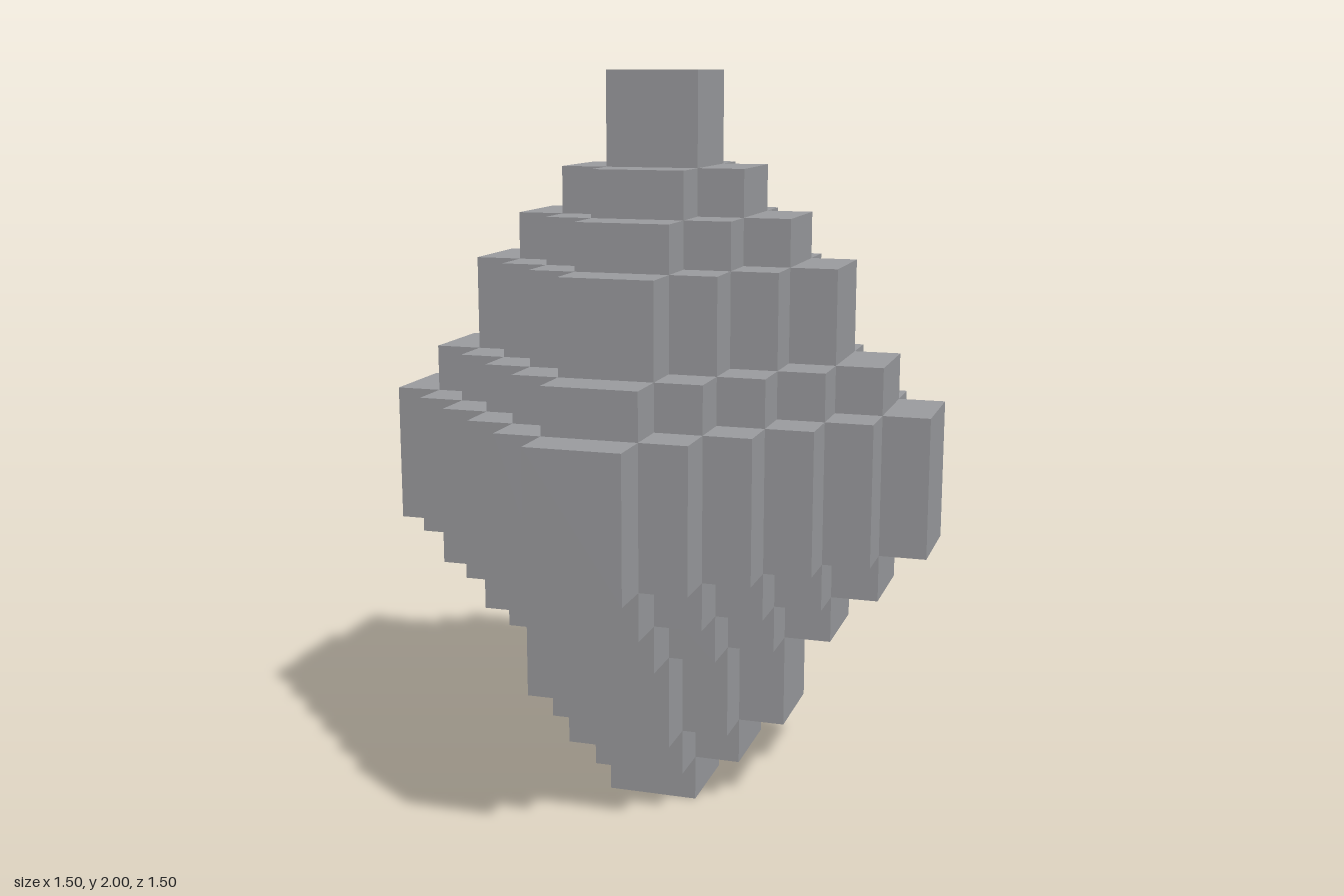
import * as THREE from 'three';

const UNIT = 0.125;

// Stepped diamond outline, `steps` blocks from the centre to each tip
function steppedDiamond(steps) {
  const points = [];
  for (let quarter = 0; quarter < 4; quarter++) {
    for (let i = 0; i < steps; i++) {
      // Two corners per step, turned by quarter turns anticlockwise
      for (const [a, b] of [[steps - i, i], [steps - i, i + 1]]) {
        if (i === 0 && b === 0) continue;
        let [x, y] = [a, b];
        for (let k = 0; k < quarter; k++) [x, y] = [-y, x];
        points.push(new THREE.Vector2(x * UNIT, y * UNIT));
      }
    }
  }
  return new THREE.Shape(points);
}

export function createModel() {
  const model = new THREE.Group();
  model.name = 'steppedCrystal';
  const stone = new THREE.MeshStandardMaterial({ color: 0x9c9da0 });
  stone.name = 'stone grey';

  // Tiers from the ground up: [steps to the tip, height in blocks]
  const tiers = [
    [1, 1], [2, 1], [3, 2], [4, 1], [5, 1], [6, 3],
    [5, 1], [4, 2], [3, 1], [2, 1], [1, 2],
  ];

  let level = 0;
  tiers.forEach(([steps, height], index) => {
    const geometry = new THREE.ExtrudeGeometry(steppedDiamond(steps), {
      depth: height * UNIT,
      bevelEnabled: false,
    });
    geometry.rotateX(-Math.PI / 2);
    const tier = new THREE.Mesh(geometry, stone);
    tier.name = `tier${index + 1}`;
    tier.position.y = level * UNIT;
    model.add(tier);
    level += height;
  });

  return model;
}
